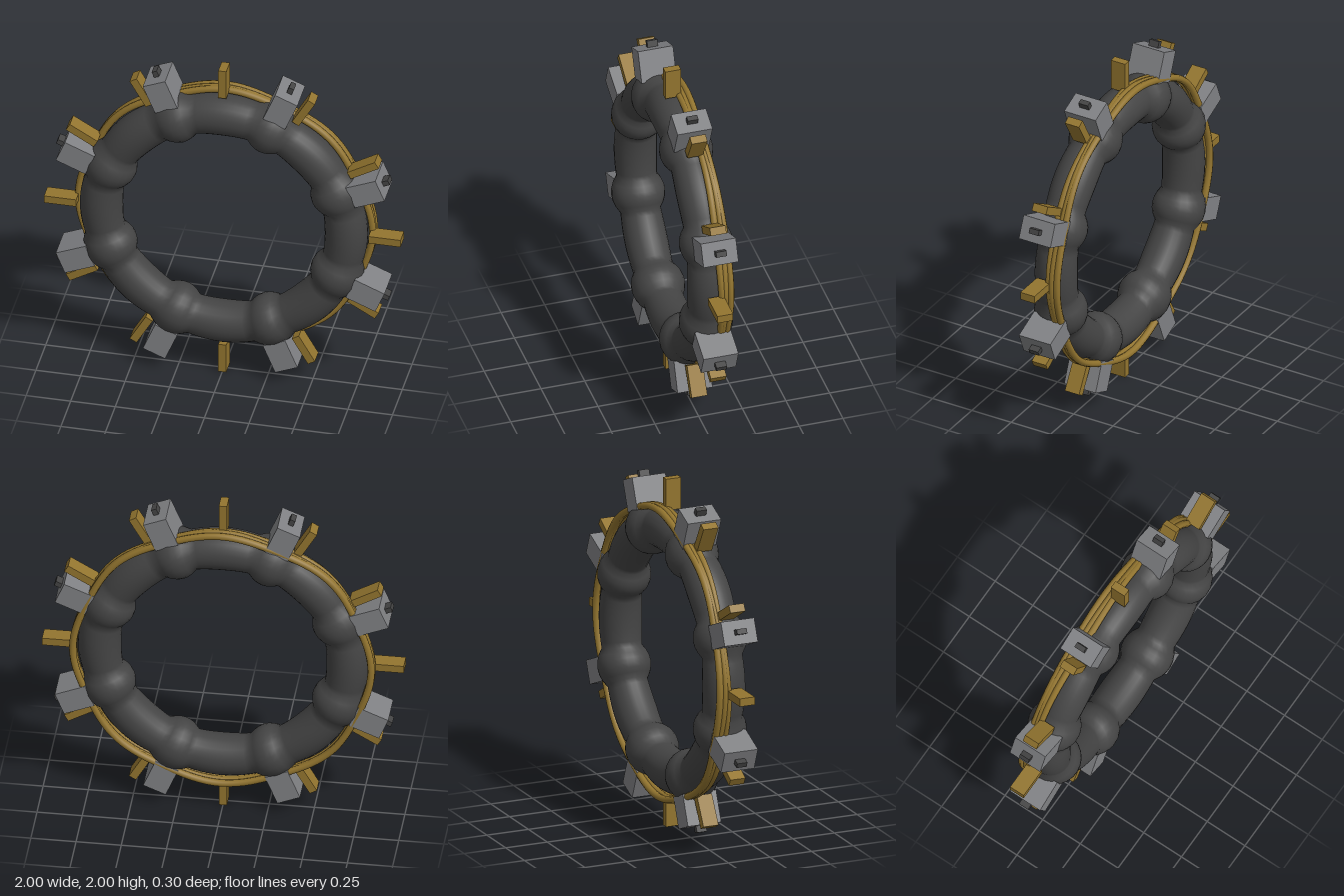
import * as THREE from 'three';
import { mergeVertices } from 'three/addons/utils/BufferGeometryUtils.js';

const RING = 0.687; // centre-line radius of the main ring

function material(name, color) {
  const m = new THREE.MeshStandardMaterial({ color });
  m.name = name;
  return m;
}

// Torus whose tube swells into eight round knuckles
function knuckledRing() {
  const g = new THREE.TorusGeometry(RING, 1, 24, 128);
  g.deleteAttribute('uv');
  g.deleteAttribute('normal');
  const p = g.attributes.position;
  for (let i = 0; i < p.count; i++) {
    const x = p.getX(i), y = p.getY(i), z = p.getZ(i);
    // the vertex order gives the angles around the ring and the tube
    const a = ((i % 129) / 128) * Math.PI * 2;
    const t = (Math.floor(i / 129) / 24) * Math.PI * 2;
    const step = Math.PI / 4;
    const s = (a - (Math.floor(a / step) + 0.5) * step) * RING;
    const tube = 0.119 - 0.005 * (1 - Math.cos(8 * a));
    const knuckle = Math.sqrt(Math.max(0, 0.149 ** 2 - s * s));
    const r = Math.max(tube, knuckle);
    const d = RING + r * Math.cos(t);
    p.setXYZ(i, d * Math.cos(a), d * Math.sin(a), r * Math.sin(t));
  }
  const merged = mergeVertices(g, 1e-4);
  merged.computeVertexNormals();
  return merged;
}

// Slightly wavy closed cable
function cable(z, phase) {
  const points = [];
  for (let i = 0; i < 64; i++) {
    const a = (i / 64) * Math.PI * 2;
    const r = 0.816 + 0.009 * Math.cos(8 * a);
    points.push(new THREE.Vector3(r * Math.cos(a), r * Math.sin(a), z + 0.006 * Math.sin(4 * a + phase)));
  }
  return new THREE.TubeGeometry(new THREE.CatmullRomCurve3(points, true), 128, 0.02, 8, true);
}

export function createModel() {
  const dark = material('dark grey', 0x444444);
  const grey = material('mid grey', 0x808184);
  const gold = material('dull gold', 0x93752f);

  const model = new THREE.Group();
  model.name = 'ringStation';
  const wheel = new THREE.Group();
  wheel.name = 'wheel';
  wheel.position.y = 1;
  model.add(wheel);

  const add = (parent, name, geometry, mat, x = 0) => {
    const mesh = new THREE.Mesh(geometry, mat);
    mesh.name = name;
    mesh.position.x = x;
    parent.add(mesh);
  };

  add(wheel, 'mainRing', knuckledRing(), dark);

  // Bundle of cables around the rim, towards the back
  [-0.036, -0.058, -0.08].forEach((z, i) => add(wheel, 'rimCable', cable(z, i * 2.1), gold));

  // Eight housings, each with a small stub on its outer face
  const housing = new THREE.BoxGeometry(0.18, 0.135, 0.2);
  const stub = new THREE.BoxGeometry(0.05, 0.03, 0.06);
  for (let i = 0; i < 8; i++) {
    const unit = new THREE.Group();
    unit.name = 'housingUnit';
    unit.rotation.z = ((i + 0.5) * Math.PI) / 4;
    add(unit, 'housing', housing, grey, 0.88);
    add(unit, 'stub', stub, dark, 0.982);
    wheel.add(unit);
  }

  // Twelve radial fins
  const fin = new THREE.BoxGeometry(0.18, 0.045, 0.09);
  for (let i = 0; i < 12; i++) {
    const arm = new THREE.Group();
    arm.name = 'finArm';
    arm.rotation.z = (i * Math.PI) / 6;
    add(arm, 'fin', fin, gold, 0.91);
    wheel.add(arm);
  }
  return model;
}
